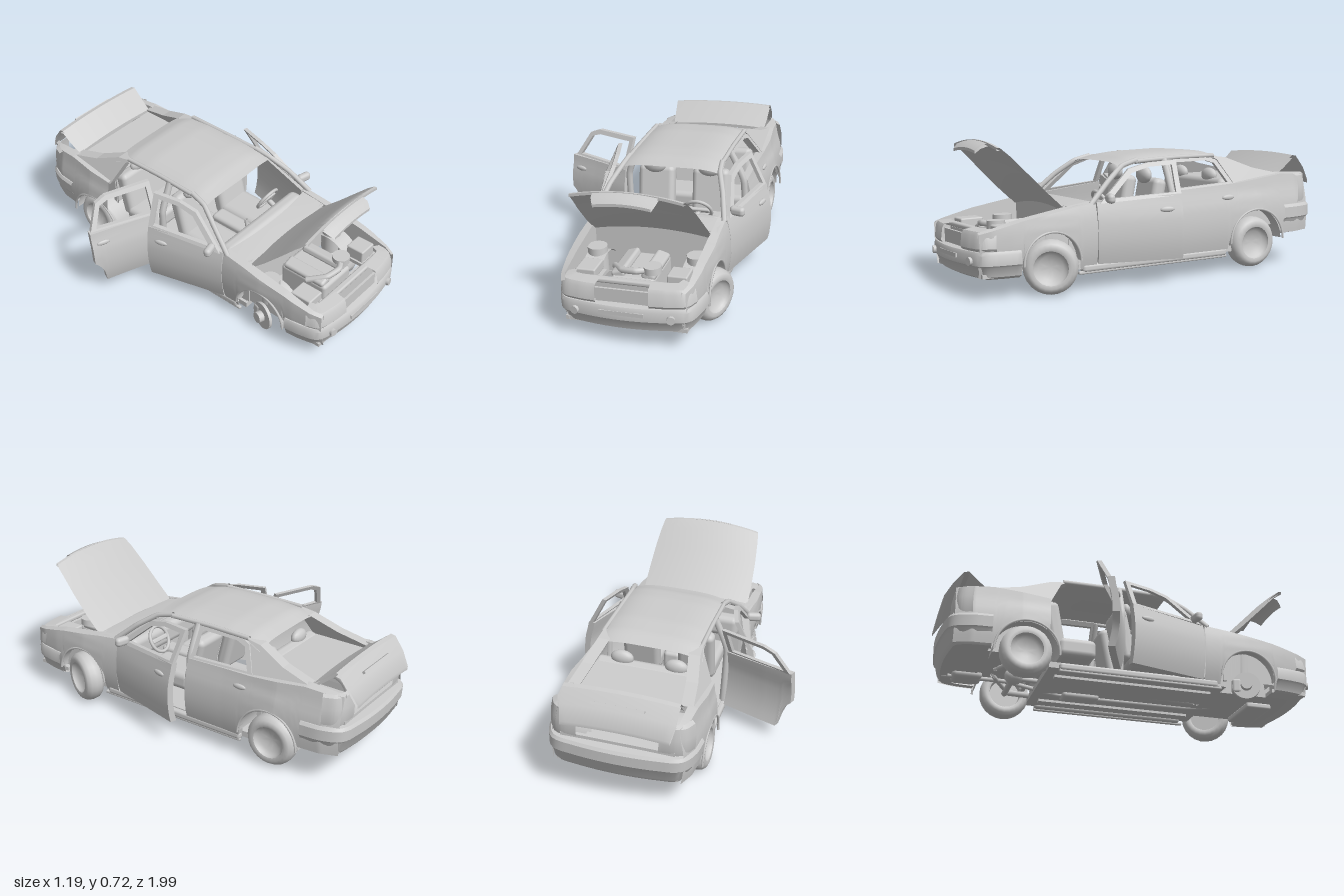
import * as THREE from 'three';
import { toCreasedNormals } from 'three/addons/utils/BufferGeometryUtils.js';
import { RoundedBoxGeometry } from 'three/addons/geometries/RoundedBoxGeometry.js';

const mat = new THREE.MeshStandardMaterial({ color: 0xcccccc, side: THREE.DoubleSide });

function add(parent, name, geo, x = 0, y = 0, z = 0, rx = 0, ry = 0, rz = 0) {
  const m = new THREE.Mesh(geo, mat);
  m.name = name;
  m.position.set(x, y, z);
  m.rotation.set(rx, ry, rz);
  parent.add(m);
  return m;
}
function group(parent, name) {
  const g = new THREE.Group();
  g.name = name;
  parent.add(g);
  return g;
}
const rbox = (w, h, d, r = 0.015) => new RoundedBoxGeometry(w, h, d, 2, r);
const box = (w, h, d) => new THREE.BoxGeometry(w, h, d);
const cyl = (r, h, n = 18) => new THREE.CylinderGeometry(r, r, h, n);
const ball = (a, b, c) => new THREE.SphereGeometry(1, 16, 10).scale(a, b, c);
const tube = (pts, r, n = 24) => new THREE.TubeGeometry(
  new THREE.CatmullRomCurve3(pts.map(p => new THREE.Vector3(...p)), false, 'catmullrom', 0.2), n, r, 8);

// surface from a rule f(i, j) -> [x, y, z]
function grid(nu, nv, f, crease = 0.6) {
  const pos = [], idx = [];
  for (let i = 0; i <= nu; i++) for (let j = 0; j <= nv; j++) pos.push(...f(i, j));
  for (let i = 0; i < nu; i++) for (let j = 0; j < nv; j++) {
    const a = i * (nv + 1) + j, b = a + nv + 1;
    idx.push(a, b, a + 1, b, b + 1, a + 1);
  }
  const g = new THREE.BufferGeometry();
  g.setAttribute('position', new THREE.Float32BufferAttribute(pos, 3));
  g.setIndex(idx);
  return toCreasedNormals(g, crease);
}
// linear look-up in a table of [t, value] with rising t
function at(tbl, t) {
  if (t <= tbl[0][0]) return tbl[0][1];
  for (let i = 1; i < tbl.length; i++) if (t <= tbl[i][0]) {
    const [a, va] = tbl[i - 1], [b, vb] = tbl[i];
    return va + (vb - va) * (t - a) / (b - a);
  }
  return tbl[tbl.length - 1][1];
}

// body rules: half width, tuck-in by height, belt line, leaning window plane, roof line
const WIDTH = [[-0.94, 0.32], [-0.85, 0.355], [-0.6, 0.375], [-0.3, 0.365], [0.4, 0.36], [0.6, 0.358], [0.8, 0.342], [0.9, 0.325], [0.96, 0.3]];
const TUCK = [[0.06, 0.04], [0.1, 0.024], [0.15, 0.01], [0.22, 0], [0.3, 0], [0.36, 0.008], [0.4, 0.02], [0.47, 0.03]];
const BELT = [[-0.93, 0.462], [-0.75, 0.473], [-0.45, 0.442], [0, 0.425], [0.36, 0.405], [0.5, 0.388], [0.75, 0.348], [0.96, 0.297]];
const ROOF = [[-0.47, 0.575], [-0.38, 0.608], [-0.25, 0.62], [0, 0.617], [0.1, 0.607], [0.2, 0.577]];
const sideX = (y, z) => at(WIDTH, z) - at(TUCK, y);
const lean = y => 0.34 - (y - 0.42) * 0.5;
const FRONT_Z = 0.605, REAR_Z = -0.572, FRONT_R = 0.15, REAR_R = 0.166;
function arch(z, base, zc, r) {
  const d = r * r - (z - zc) ** 2;
  return d > 0 ? Math.max(base, 0.135 + Math.sqrt(d)) : base;
}

// fixed body side: outer skin, top ledge, inner wall
function wing(z0, z1, bottom, inner, wallY) {
  const n = 48, r = 8;
  return grid(n, r + 2, (i, j) => {
    const z = z0 + (z1 - z0) * i / n, t = at(BELT, z), b = bottom(z);
    const y = b + (t - b) * Math.min(j, r) / r, xo = sideX(y, z);
    if (j <= r) return [xo, y, z];
    const xi = Math.min(inner, xo - 0.02);
    return j === r + 1 ? [xi, t + 0.008, z] : [xi, wallY, z];
  });
}
// closed lower door body with inner and outer skin
function doorSkin(z0, z1, bottom) {
  const n = 32, r = 8;
  return grid(n, 2 * r + 2, (i, j) => {
    const k = THREE.MathUtils.clamp((i - 1) / (n - 2), 0, 1), z = z0 + (z1 - z0) * k;
    const off = i === 0 || i === n ? 0 : 0.035;
    const out = j <= r || j === 2 * r + 2, f = j === 2 * r + 2 ? 0 : j <= r ? j / r : (2 * r + 1 - j) / r;
    const b = bottom(z), y = b + (at(BELT, z) - b) * f;
    return [sideX(y, z) - (out ? 0 : off), y, z];
  });
}
// flat outline in (z, y) sheared onto the leaning window plane
function leaning(outline, hole, depth) {
  const s = new THREE.Shape(outline.map(p => new THREE.Vector2(...p)));
  if (hole) s.holes.push(new THREE.Path(hole.map(p => new THREE.Vector2(...p))));
  const g = new THREE.ExtrudeGeometry(s, { depth, bevelEnabled: false });
  const p = g.attributes.position;
  for (let i = 0; i < p.count; i++) p.setXYZ(i, lean(p.getY(i)) - p.getZ(i), p.getY(i), p.getX(i));
  g.computeVertexNormals();
  return g;
}
// profile [offset, y] carried along a plan path of [x, z]
function wrap(path, profile) {
  const c = new THREE.CatmullRomCurve3(path.map(p => new THREE.Vector3(p[0], 0, p[1])), false, 'centripetal');
  return grid(36, profile.length - 1, (i, j) => {
    const p = c.getPoint(i / 36), t = c.getTangent(i / 36), [o, y] = profile[j];
    return [p.x + t.z * o, y, p.z - t.x * o];
  });
}
// crowned lid from a list of [z, y, halfWidth]
function lid(profile, crown, thick) {
  const n = profile.length, loop = [...profile.map(p => [...p, 0]), ...profile.map(p => [...p, thick]).reverse(), [...profile[0], 0]];
  return grid(16, 2 * n, (i, j) => {
    const u = i / 8 - 1, [z, y, w, t] = loop[j];
    return [u * w, y - crown * u * u - t, z];
  });
}
const both = path => [...path, ...path.slice(0, -1).reverse().map(p => [-p[0], p[1]])];

function addDoor(side, name, z0, z1, angle, bottom, outline, hole, handle, mirror) {
  const hx = 0.35, pivot = group(side, name), d = group(pivot, name + 'Panel');
  pivot.position.set(hx, 0, z0);
  pivot.rotation.y = -angle;
  d.position.set(-hx, 0, -z0);
  add(d, 'doorSkin', doorSkin(z0, z1, bottom));
  add(d, 'windowFrame', leaning(outline, hole, 0.022));
  const [hz, hy] = handle;
  add(d, 'doorHandle', ball(0.01, 0.014, 0.037), sideX(hy, hz), hy, hz);
  if (mirror) add(d, 'wingMirror', rbox(0.08, 0.048, 0.04, 0.019), 0.368, 0.425, 0.3);
}

function addWheel(parent, name, x, z, y, turn, flip) {
  const pts = [[0, 0.012], [0.03, 0.014], [0.06, 0.024], [0.078, 0.036], [0.084, 0.05], [0.1, 0.054], [0.117, 0.046], [0.13, 0.028], [0.134, 0],
    [0.13, -0.028], [0.117, -0.045], [0.1, -0.05], [0.085, -0.045], [0.08, -0.01], [0, -0.01]].map(p => new THREE.Vector2(...p));
  const g = new THREE.LatheGeometry(pts, 24).rotateZ(-Math.PI / 2);
  add(parent, name, toCreasedNormals(g, 0.7), x, y, z, 0, turn + (flip ? Math.PI : 0), 0);
}

export function createModel() {
  const model = new THREE.Group();
  model.name = 'saloonCar';
  const tilt = 0.055, body = group(model, 'body');
  body.position.set(0.12 + 0.3 * Math.sin(tilt), 0, 0);
  body.rotation.z = tilt;

  for (const s of [1, -1]) {
    const side = group(body, s > 0 ? 'leftSide' : 'rightSide');
    side.scale.x = s;
    add(side, 'frontWing', wing(0.365, 0.955, z => arch(z, 0.09, FRONT_Z, FRONT_R), 0.3, 0.13));
    add(side, 'rearWing', wing(-0.462, -0.935, z => arch(z, z > -0.57 ? 0.09 : 0.16, REAR_Z, REAR_R), 0.285, 0.2));
    for (const [z, r] of [[FRONT_Z, FRONT_R], [REAR_Z, REAR_R]]) {
      const liner = new THREE.CylinderGeometry(r, r, 0.15, 20, 1, true, Math.PI, Math.PI).rotateZ(-Math.PI / 2);
      add(side, 'wheelArchLiner', liner, 0.275, 0.135, z);
      add(side, 'archLip', new THREE.TorusGeometry(r, 0.006, 6, 24, Math.PI), at(WIDTH, z) - 0.004, 0.135, z, 0, Math.PI / 2);
    }
    // doors
    addDoor(side, 'frontDoor', 0.36, -0.07, s > 0 ? 0.25 : 0.265, () => 0.105,
      [[0.345, 0.4], [0.18, 0.555], [0.08, 0.58], [-0.07, 0.588], [-0.07, 0.42]],
      [[0.285, 0.42], [0.165, 0.535], [0.075, 0.56], [-0.045, 0.566], [-0.045, 0.435]], [0.01, 0.355], true);
    addDoor(side, 'rearDoor', -0.08, -0.462, s > 0 ? 0 : 1.2, z => arch(z, 0.105, REAR_Z, REAR_R),
      [[-0.08, 0.42], [-0.08, 0.588], [-0.33, 0.588], [-0.39, 0.565], [-0.455, 0.435]],
      [[-0.105, 0.438], [-0.105, 0.566], [-0.32, 0.566], [-0.37, 0.55], [-0.42, 0.45]], [-0.4, 0.375], false);
    // pillars, roof rail, sill
    add(side, 'windscreenPillar', tube([[0.335, 0.4, 0.385], [0.3, 0.5, 0.27], [0.262, 0.567, 0.17], [0.25, 0.59, 0.08]], 0.014));
    add(side, 'roofRail', tube([[0.252, 0.583, 0.1], [0.25, 0.59, -0.15], [0.252, 0.588, -0.38]], 0.012));
    add(side, 'centrePillar', tube([[0.32, 0.1, -0.085], [0.32, 0.42, -0.08], [0.25, 0.585, -0.08]], 0.018));
    add(side, 'rearPillar', leaning([[-0.46, 0.43], [-0.395, 0.565], [-0.36, 0.588], [-0.45, 0.575], [-0.6, 0.513], [-0.755, 0.475], [-0.755, 0.43]], null, 0.06));
    add(side, 'sill', rbox(0.05, 0.04, 0.84), 0.315, 0.09, 0.02);
    add(side, 'sillTrim', rbox(0.02, 0.016, 0.86, 0.006), 0.325, 0.07, 0.03);
    // lamps and corner panels
    add(side, 'tailLamp', wrap([[0.2, -0.935], [0.28, -0.93], [0.32, -0.908], [0.348, -0.85]], [[-0.02, 0.467], [0, 0.457], [0.01, 0.4], [0.01, 0.34], [0, 0.3]]));
    add(side, 'headlamp', wrap([[0.328, 0.88], [0.3, 0.94], [0.22, 0.964], [0.13, 0.973]], [[-0.07, 0.315], [-0.01, 0.308], [0.002, 0.29], [0.01, 0.23], [0, 0.215]]));
    add(side, 'fogLamp', cyl(0.02, 0.02), 0.235, 0.17, 0.98, Math.PI / 2, 0, -0.2);
    // engine bay and cabin pairs
    add(side, 'strutTower', cyl(0.05, 0.14), 0.255, 0.245, 0.6);
    add(side, 'frontSeatCushion', rbox(0.2, 0.1, 0.29, 0.035), 0.15, 0.225, 0.125);
    add(side, 'frontSeatBack', rbox(0.2, 0.29, 0.075, 0.03), 0.15, 0.345, -0.04, -0.22);
    add(side, 'frontHeadrest', ball(0.062, 0.045, 0.03), 0.15, 0.505, -0.02);
    add(side, 'rearHeadrest', ball(0.06, 0.04, 0.03), 0.14, 0.475, -0.43);
  }

  // roof
  add(body, 'roof', grid(24, 20, (i, j) => {
    const z = 0.175 - 0.635 * i / 24, u = j / 10 - 1, y = at(ROOF, z);
    return [u * lean(y - 0.035), y - 0.032 * u ** 4, z + (1 - u * u) * (i === 0 ? 0.015 : 0)];
  }));
  // cowl, firewall, shelf and floor
  add(body, 'cowl', grid(16, 2, (i, j) => {
    const u = i / 8 - 1;
    return [u * 0.33, 0.405 + 0.012 * (1 - u * u) - j * 0.008, [0.36 + 0.04 * (1 - u * u), 0.46, 0.51][j]];
  }));
  add(body, 'firewall', box(0.61, 0.27, 0.02), 0, 0.26, 0.49);
  add(body, 'parcelShelf', box(0.62, 0.02, 0.29), 0, 0.445, -0.61);
  add(body, 'rearBulkhead', box(0.58, 0.3, 0.02), 0, 0.29, -0.48);
  add(body, 'cabinFloor', box(0.63, 0.03, 0.94), 0, 0.1, 0.02);
  add(body, 'transmissionTunnel', rbox(0.12, 0.09, 0.85), 0, 0.145, 0.05);
  add(body, 'bootFloor', box(0.44, 0.03, 0.48), 0, 0.185, -0.69);
  add(body, 'bootFloorRear', box(0.6, 0.03, 0.18), 0, 0.18, -0.84);
  add(body, 'engineTray', box(0.42, 0.02, 0.3), 0, 0.1, 0.62);
  add(body, 'engineTrayFront', box(0.6, 0.02, 0.19), 0, 0.1, 0.85);
  add(body, 'splashGuard', rbox(0.29, 0.03, 0.14, 0.01), 0.015, 0.07, 0.75);

  // nose and tail
  add(body, 'frontBumper', wrap(both([[0.345, 0.765], [0.332, 0.86], [0.302, 0.94], [0.2, 0.97], [0, 0.988]]),
    [[-0.09, 0.08], [-0.045, 0.08], [-0.015, 0.095], [0, 0.14], [0.01, 0.15], [0.012, 0.2], [0.004, 0.215], [-0.03, 0.222]]));
  add(body, 'plateRecess', box(0.22, 0.02, 0.012), 0, 0.185, 0.995);
  add(body, 'grillePanel', box(0.27, 0.075, 0.012), 0, 0.25, 0.955);
  add(body, 'rearBumper', wrap(both([[0.362, -0.75], [0.35, -0.86], [0.308, -0.94], [0.2, -0.965], [0, -0.978]]).reverse(),
    [[-0.07, 0.155], [-0.03, 0.155], [-0.01, 0.18], [0.002, 0.23], [0.012, 0.24], [0.014, 0.295], [0.004, 0.31], [-0.04, 0.315]]));
  add(body, 'bootSill', box(0.56, 0.12, 0.02), 0, 0.27, -0.93);

  // raised bonnet and boot lid
  add(body, 'bonnet', lid([[0.505, 0.405, 0.305], [0.6, 0.495, 0.304], [0.7, 0.597, 0.298], [0.78, 0.68, 0.288], [0.825, 0.72, 0.28], [0.84, 0.722, 0.276]], 0.03, 0.014));
  add(body, 'bonnetLip', lid([[0.83, 0.722, 0.16], [0.87, 0.71, 0.155], [0.895, 0.688, 0.14]], 0.012, 0.014));
  add(body, 'bootLid', lid([[-0.755, 0.48, 0.27], [-0.82, 0.528, 0.278], [-0.875, 0.575, 0.282], [-0.9, 0.57, 0.282], [-0.95, 0.505, 0.28], [-0.99, 0.435, 0.265]], 0.012, 0.018));
  add(body, 'lidTrim', box(0.26, 0.012, 0.02), 0, 0.525, -0.94, 0.6);

  // engine bay
  const bay = group(body, 'engineBay');
  add(bay, 'radiator', box(0.4, 0.15, 0.03), 0, 0.21, 0.89);
  add(bay, 'radiatorBar', rbox(0.54, 0.025, 0.035, 0.01), 0, 0.3, 0.9);
  add(bay, 'engineBlock', rbox(0.22, 0.16, 0.28, 0.02), 0, 0.2, 0.69);
  for (const x of [-0.075, 0.075]) add(bay, 'valveCover', rbox(0.07, 0.04, 0.25), x, 0.285, 0.69, 0, 0, -x * 4);
  add(bay, 'airFilter', cyl(0.045, 0.035, 24), 0.09, 0.315, 0.78);
  add(bay, 'intakeHose', tube([[0.09, 0.31, 0.78], [0.02, 0.315, 0.82], [-0.06, 0.305, 0.8], [-0.12, 0.28, 0.72]], 0.016));
  add(bay, 'battery', rbox(0.1, 0.07, 0.1, 0.008), 0.23, 0.29, 0.8);
  add(bay, 'fuseBox', rbox(0.1, 0.05, 0.12, 0.008), -0.22, 0.295, 0.8);
  for (const x of [0.23, -0.22]) add(bay, 'traySupport', box(0.12, 0.02, 0.14), x, 0.25, 0.8);

  // cabin
  add(body, 'dashboard', rbox(0.6, 0.12, 0.09, 0.035), 0, 0.335, 0.335);
  add(body, 'dashboardBase', box(0.6, 0.2, 0.1), 0, 0.21, 0.43);
  add(body, 'steeringWheel', new THREE.TorusGeometry(0.068, 0.009, 8, 24), 0.16, 0.38, 0.235, 0.5);
  add(body, 'steeringHub', rbox(0.12, 0.025, 0.02, 0.008), 0.16, 0.38, 0.235, 0.5);
  add(body, 'steeringColumn', tube([[0.16, 0.38, 0.235], [0.16, 0.34, 0.31]], 0.014, 4));
  add(body, 'centreConsole', rbox(0.09, 0.12, 0.3, 0.02), 0, 0.22, 0.16);
  add(body, 'gearLever', tube([[0, 0.27, 0.23], [0, 0.33, 0.22]], 0.009, 4));
  add(body, 'rearSeatCushion', rbox(0.58, 0.1, 0.2, 0.03), 0, 0.22, -0.3);
  add(body, 'rearSeatBack', rbox(0.56, 0.26, 0.08, 0.03), 0, 0.335, -0.42, -0.2);

  // underside
  const under = group(body, 'underside');
  add(under, 'exhaustPipe', tube([[0.06, 0.11, 0.6], [0.08, 0.085, 0.4], [0.08, 0.08, -0.3], [0.12, 0.14, -0.6], [0.18, 0.16, -0.93]], 0.012, 40));
  add(under, 'frontSilencer', rbox(0.1, 0.04, 0.2, 0.018), 0.08, 0.08, -0.2);
  add(under, 'rearSilencer', rbox(0.13, 0.05, 0.16, 0.022), 0.17, 0.165, -0.8);
  add(under, 'driveShaft', tube([[0, 0.09, 0.45], [0, 0.12, -0.55]], 0.014));
  add(under, 'differential', ball(0.05, 0.045, 0.05), 0, 0.13, REAR_Z);
  add(under, 'rearAxle', cyl(0.016, 0.6), 0, 0.13, REAR_Z, 0, 0, Math.PI / 2);
  add(under, 'frontAxle', cyl(0.016, 0.52), 0, 0.125, FRONT_Z, 0, 0, Math.PI / 2);
  for (const s of [1, -1]) {
    add(under, 'chassisRail', box(0.035, 0.02, 0.84), s * 0.2, 0.082, 0.02);
    add(under, 'trailingArm', tube([[s * 0.2, 0.1, -0.38], [s * 0.27, 0.13, REAR_Z]], 0.016, 6));
    add(under, 'rearCrossArm', tube([[s * 0.04, 0.14, -0.68], [s * 0.26, 0.14, REAR_Z]], 0.012, 6));
  }

  // wheels: the front left is steered, the front right is removed leaving its hub
  addWheel(model, 'frontLeftWheel', 0.45, FRONT_Z, 0.134, -0.42, false);
  addWheel(model, 'rearLeftWheel', 0.43, REAR_Z, 0.141, 0, false);
  addWheel(model, 'rearRightWheel', -0.185, REAR_Z, 0.134, 0, true);
  const hub = group(model, 'bareFrontRightHub');
  hub.position.set(-0.175, 0.085, FRONT_Z);
  hub.rotation.y = -0.3;
  add(hub, 'brakeDisc', cyl(0.074, 0.016, 24), -0.012, 0, 0, 0, 0, Math.PI / 2);
  add(hub, 'hubCentre', cyl(0.03, 0.06), -0.02, 0, 0, 0, 0, Math.PI / 2);
  add(hub, 'brakeCaliper', rbox(0.05, 0.08, 0.05), 0, 0, -0.05);
  add(hub, 'damper', cyl(0.022, 0.18), 0.04, 0.1, 0);
  return model;
}
